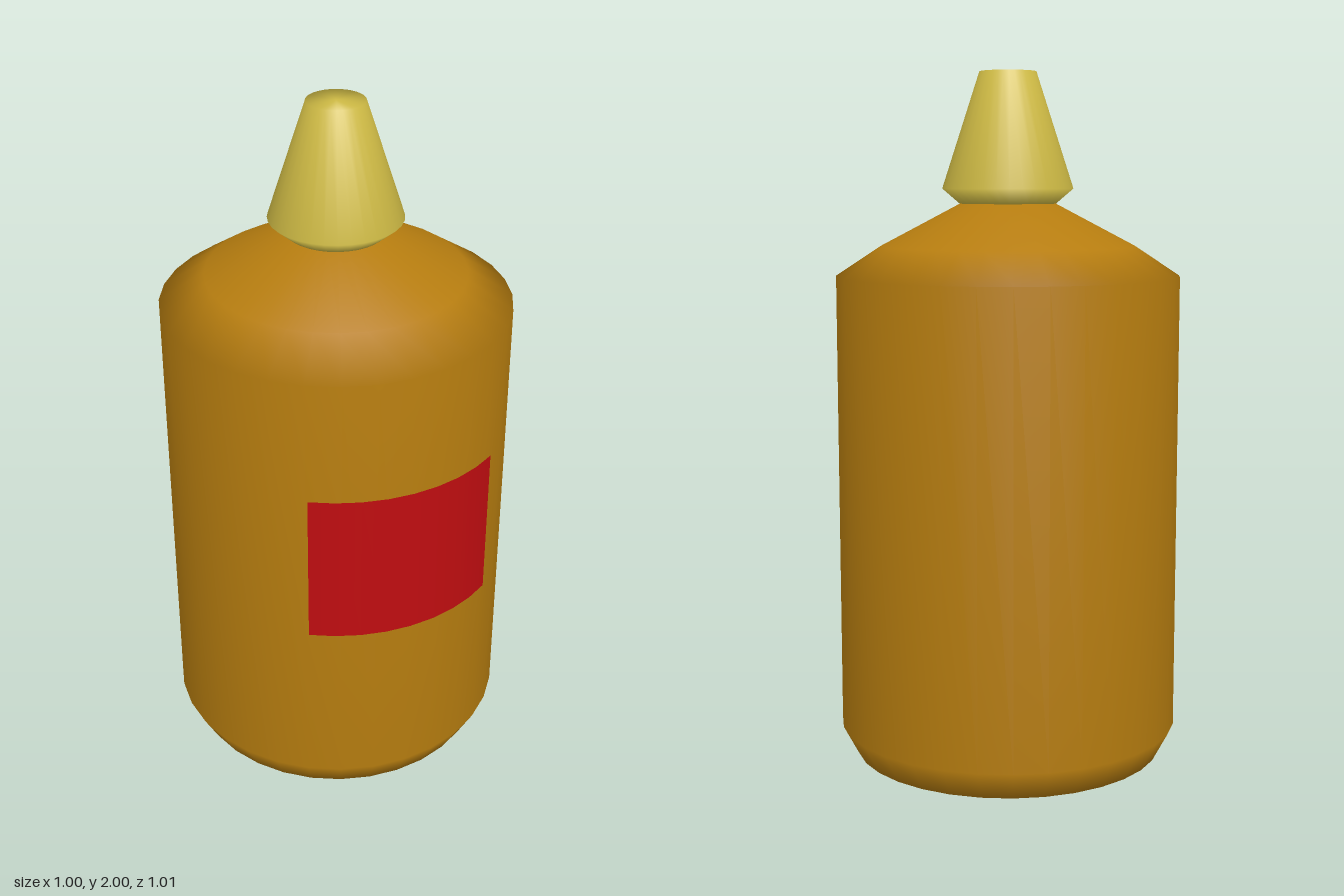
import * as THREE from 'three';

const amber = new THREE.MeshStandardMaterial({ name: 'amber plastic', color: 0xb57c0f });
const yellow = new THREE.MeshStandardMaterial({ name: 'pale yellow plastic', color: 0xcfbb45 });
const red = new THREE.MeshStandardMaterial({ name: 'red paper', color: 0xbf0d10, side: THREE.DoubleSide });

// Turned part from [radius, height] pairs, listed bottom to top
function turned(name, profile, material, segments, start = 0, sweep = Math.PI * 2) {
  const points = profile.map(([r, y]) => new THREE.Vector2(r, y));
  const mesh = new THREE.Mesh(new THREE.LatheGeometry(points, segments, start, sweep), material);
  mesh.name = name;
  return mesh;
}

export function createModel() {
  const group = new THREE.Group();
  group.name = 'glueBottle';

  // Bottle with chamfered foot and sloping shoulder
  const body = turned('bottleBody', [
    [0, 0], [0.455, 0], [0.5, 0.085], [0.5, 1.417],
    [0.37, 1.503], [0.135, 1.627], [0, 1.627],
  ], amber, 32);

  // Tapered nozzle cap with flat tip
  const cap = turned('nozzleCap', [
    [0, 1.625], [0.14, 1.625], [0.19, 1.668], [0.082, 2], [0, 2],
  ], yellow, 32);

  // Curved sheet wrapped around the front
  const half = 0.573;
  const label = turned('frontLabel', [[0.514, 0.61], [0.514, 1.065]], red, 8, -half, half * 2);

  group.add(body, cap, label);
  // Centre the depth, since the label stands slightly proud
  for (const part of group.children) part.position.z = -0.007;
  return group;
}
